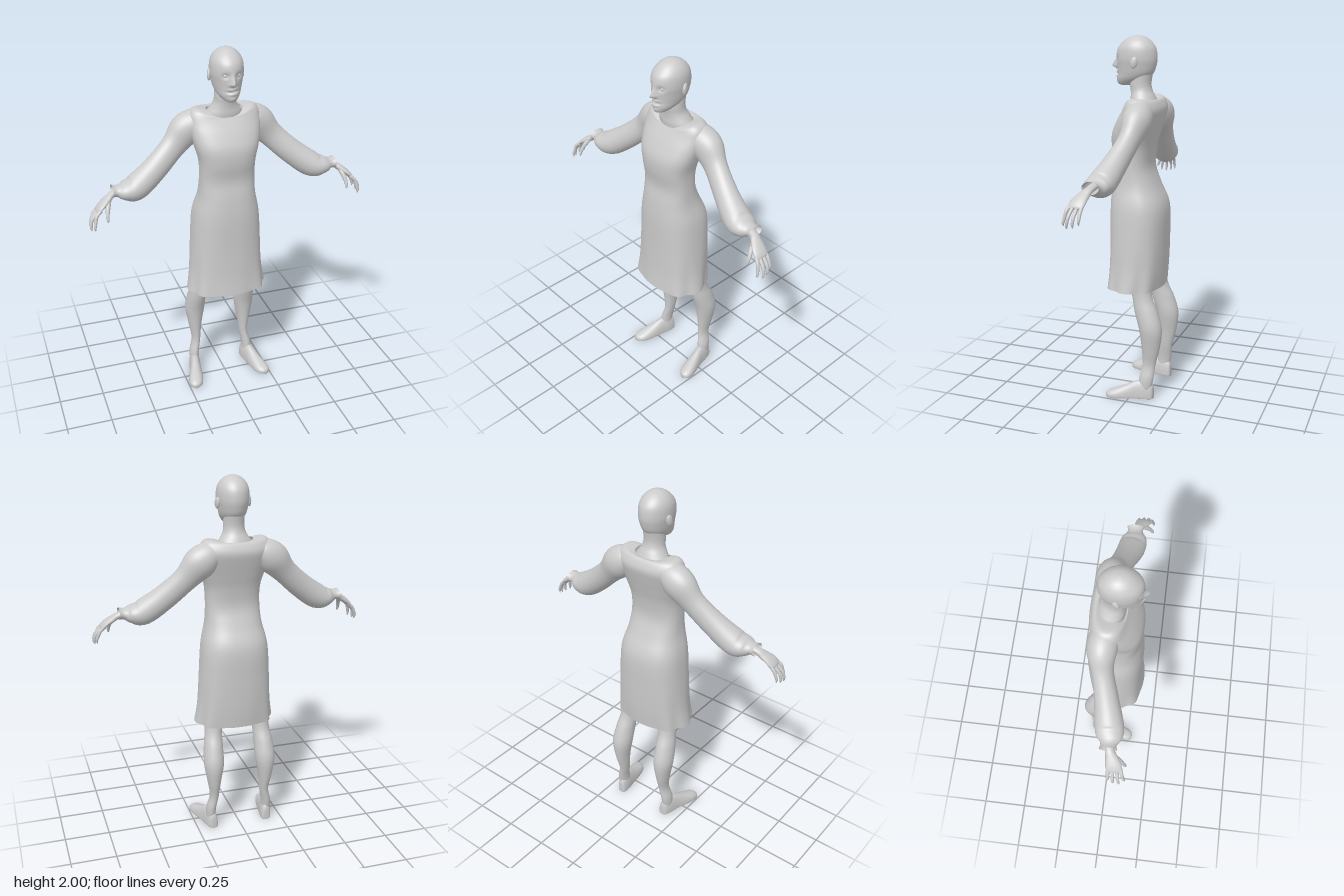
import * as THREE from 'three';

const V = (x, y, z) => new THREE.Vector3(x, y, z);
const skin = new THREE.MeshStandardMaterial({ color: 0xcccccc });
const cloth = new THREE.MeshStandardMaterial({ color: 0xcccccc, side: THREE.DoubleSide });
const gauss = (d, w) => Math.exp(-(d * d) / (w * w));
const pow = (v, p) => Math.sign(v) * Math.abs(v) ** p;

// Catmull-Rom subdivision of a short table of section values
function smooth(rows, per) {
  const out = [];
  const at = (i) => rows[Math.min(Math.max(i, 0), rows.length - 1)];
  for (let i = 0; i < rows.length - 1; i++) {
    for (let k = 0; k < per; k++) {
      const t = k / per;
      out.push(rows[i].map((b, j) => {
        const a = at(i - 1)[j], c = at(i + 1)[j], d = at(i + 2)[j];
        return b + 0.5 * t * (c - a + t * (2 * a - 5 * b + 4 * c - d + t * (3 * (b - c) + d - a)));
      }));
    }
  }
  out.push(rows[rows.length - 1]);
  return out;
}

// Skin over closed rings; capped ends get a centre point
function loft(rings, capStart = true, capEnd = true) {
  const n = rings[0].length, m = rings.length, pos = [], idx = [];
  rings.forEach((r) => r.forEach((p) => pos.push(p.x, p.y, p.z)));
  for (let i = 0; i < m - 1; i++) {
    for (let j = 0; j < n; j++) {
      const k = (j + 1) % n, a = i * n + j, b = i * n + k;
      idx.push(a, b, b + n, a, b + n, a + n);
    }
  }
  const cap = (i, flip) => {
    const c = rings[i].reduce((s, p) => s.add(p), V(0, 0, 0)).divideScalar(n);
    const id = pos.push(c.x, c.y, c.z) / 3 - 1;
    for (let j = 0; j < n; j++) {
      const a = i * n + j, b = i * n + (j + 1) % n;
      idx.push(id, flip ? b : a, flip ? a : b);
    }
  };
  if (capStart) cap(0, true);
  if (capEnd) cap(m - 1, false);
  const g = new THREE.BufferGeometry();
  g.setAttribute('position', new THREE.Float32BufferAttribute(pos, 3));
  g.setIndex(idx);
  g.computeVertexNormals();
  return g;
}

const ringOf = (n, f) => Array.from({ length: n }, (_, j) => f((j / n) * Math.PI * 2));

// Upright body sections: [y, centreX, halfWidth, zFront, zBack]
function column(rows, n, per, p = 1) {
  return loft(smooth(rows, per).map(([y, cx, hx, zf, zb]) => ringOf(n, (a) =>
    V(cx + hx * pow(Math.sin(a), p), y, (zf + zb) / 2 + (zf - zb) / 2 * pow(Math.cos(a), p)))));
}

// Limb sections along a path: [x, y, z, radius across z, radius across the limb]
function limb(rows, n, per, capEnd = true) {
  const s = smooth(rows, per);
  const pts = s.map((r) => V(r[0], r[1], r[2]));
  return loft(s.map((r, i) => {
    const t = pts[Math.min(i + 1, s.length - 1)].clone().sub(pts[Math.max(i - 1, 0)]).normalize();
    const u = V(0, 0, 1).addScaledVector(t, -t.z).normalize();
    const v = t.clone().cross(u);
    return ringOf(n, (a) => pts[i].clone()
      .addScaledVector(u, r[3] * Math.cos(a)).addScaledVector(v, r[4] * Math.sin(a)));
  }), true, capEnd);
}

function mirrored(g) {
  const m = g.clone().scale(-1, 1, 1);
  const ix = m.index.array;
  for (let i = 0; i < ix.length; i += 3) [ix[i], ix[i + 1]] = [ix[i + 1], ix[i]];
  m.computeVertexNormals();
  return m;
}

// Head with brow, nose, sockets and lips pushed out of the front
function headGeometry() {
  const g = column([
    [1.736, 0, 0.018, 0.118, 0.06], [1.745, 0, 0.036, 0.127, 0.03], [1.77, 0, 0.058, 0.133, -0.03],
    [1.80, 0, 0.071, 0.13, -0.068], [1.84, 0, 0.08, 0.132, -0.084], [1.88, 0, 0.086, 0.136, -0.09],
    [1.93, 0, 0.083, 0.127, -0.083], [1.965, 0, 0.067, 0.099, -0.06], [1.988, 0, 0.042, 0.067, -0.03],
    [1.997, 0, 0.02, 0.04, -0.003], [2.0, 0, 0.002, 0.02, 0.015],
  ], 72, 6);
  const p = g.attributes.position;
  for (let i = 0; i < p.count; i++) {
    const x = p.getX(i), y = p.getY(i), z = p.getZ(i);
    if (z < 0.05) continue;
    const ax = Math.abs(x);
    const bridge = y > 1.836 ? gauss(y - 1.836, 0.03) : gauss(y - 1.836, 0.011);
    const nose = 0.032 * bridge * gauss(x, 0.009 + 0.006 * gauss(y - 1.832, 0.012));
    const socket = -0.012 * gauss(ax - 0.034, 0.018) * gauss(y - 1.875, 0.014);
    const lips = gauss(x, 0.022) * (0.009 * gauss(y - 1.805, 0.007) + 0.008 * gauss(y - 1.783, 0.007)
      - 0.013 * gauss(y - 1.794, 0.005));
    const chin = 0.005 * gauss(x, 0.02) * gauss(y - 1.755, 0.012);
    p.setZ(i, z + nose + socket + lips + chin);
  }
  g.computeVertexNormals();
  return g;
}

// Dress: [y, halfWidth, zFront, zBack, neckline dip, hem fold]
function dressGeometry() {
  const rows = smooth([
    [0.625, 0.218, 0.168, -0.135, 0, 1], [0.74, 0.205, 0.159, -0.146, 0, 0.5],
    [0.9, 0.196, 0.155, -0.152, 0, 0.12], [1.08, 0.183, 0.155, -0.15, 0, 0],
    [1.2, 0.157, 0.146, -0.102, 0, 0], [1.3, 0.15, 0.132, -0.068, 0, 0],
    [1.4, 0.153, 0.146, -0.075, 0, 0], [1.48, 0.173, 0.143, -0.095, 0, 0],
    [1.55, 0.19, 0.113, -0.115, 0, 0], [1.61, 0.197, 0.08, -0.128, 0.005, 0],
    [1.655, 0.187, 0.064, -0.116, 0.025, 0], [1.678, 0.155, 0.06, -0.1, 0.042, 0],
    [1.67, 0.098, 0.055, -0.08, 0.036, 0],
  ], 5);
  return loft(rows.map(([y, hx, zf, zb, dip, fold]) => ringOf(72, (a) => {
    const c = Math.cos(a), s = Math.sin(a);
    const k = 1 + 0.045 * fold * Math.cos(8 * a) * (0.35 + 0.65 * s * s);
    return V(hx * k * pow(s, 0.8), y - dip * c * c * (c > 0 ? 1 : 0.3),
      (zf + zb) / 2 + (zf - zb) / 2 * k * pow(c, 0.8));
  })), false, false);
}

// Shoe: [z, centreX, halfWidth, height], flat underneath
function shoeGeometry() {
  const rows = smooth([
    [-0.132, 0.16, 0.014, 0.06], [-0.122, 0.161, 0.026, 0.09], [-0.085, 0.166, 0.033, 0.108],
    [-0.035, 0.176, 0.034, 0.1], [0.02, 0.19, 0.04, 0.075], [0.075, 0.204, 0.043, 0.053],
    [0.112, 0.211, 0.034, 0.038], [0.13, 0.214, 0.012, 0.024],
  ], 4);
  return loft(rows.map(([z, cx, hw, h]) => ringOf(28, (a) => {
    const s = Math.sin(a);
    return V(cx + hw * pow(Math.cos(a), 0.85), 0.015 + (s > 0 ? (h - 0.015) * s : 0.015 * pow(s, 0.3)), z);
  })));
}

export function createModel() {
  const model = new THREE.Group();
  model.name = 'figure';
  const add = (name, geo, mat = skin) => {
    const mesh = new THREE.Mesh(geo, mat);
    mesh.name = name;
    model.add(mesh);
  };
  const pair = (name, geo, mat) => {
    add(name + 'Left', geo, mat);
    add(name + 'Right', mirrored(geo), mat);
  };

  add('head', headGeometry());
  add('neck', column([
    [1.61, 0, 0.1, 0.05, -0.09], [1.65, 0, 0.095, 0.054, -0.09], [1.68, 0, 0.076, 0.053, -0.078],
    [1.71, 0, 0.06, 0.055, -0.063], [1.75, 0, 0.056, 0.06, -0.057], [1.82, 0, 0.056, 0.05, -0.068],
  ], 40, 4));
  pair('eye', new THREE.SphereGeometry(0.013, 20, 14).translate(0.034, 1.875, 0.107));
  pair('ear', new THREE.SphereGeometry(1, 18, 14).scale(0.01, 0.031, 0.019)
    .rotateX(-0.2).rotateY(0.3).translate(0.088, 1.86, 0.008));

  add('dress', dressGeometry(), cloth);

  // Gathered sleeves ending in a narrow cuff
  pair('sleeve', limb([
    [0.1, 1.6, -0.035, 0.06, 0.06], [0.15, 1.592, -0.042, 0.076, 0.078], [0.205, 1.555, -0.046, 0.076, 0.088],
    [0.277, 1.477, -0.034, 0.056, 0.068], [0.383, 1.38, -0.004, 0.062, 0.068],
    [0.495, 1.3, 0.024, 0.074, 0.07], [0.56, 1.292, 0.034, 0.068, 0.05],
    [0.6, 1.296, 0.034, 0.042, 0.03], [0.628, 1.298, 0.034, 0.046, 0.032],
  ], 36, 5, false), cloth);

  // Hands: palm, four curled fingers and a thumb
  pair('palm', limb([
    [0.56, 1.3, 0.034, 0.022, 0.018], [0.625, 1.287, 0.042, 0.023, 0.017], [0.655, 1.268, 0.054, 0.031, 0.018],
    [0.69, 1.243, 0.068, 0.041, 0.016], [0.712, 1.222, 0.074, 0.041, 0.013], [0.72, 1.212, 0.075, 0.034, 0.007],
  ], 24, 4));
  const tips = [[0.742, 1.13, 0.128], [0.758, 1.122, 0.103], [0.757, 1.127, 0.073], [0.748, 1.14, 0.045]];
  tips.forEach(([x, y, z], i) => {
    const bz = 0.106 - i * 0.021;
    pair('finger' + (i + 1), limb([
      [0.702, 1.228, bz, 0.01, 0.01], [0.727, 1.205, bz * 0.6 + z * 0.4, 0.0095, 0.0095],
      [x - 0.006, 1.175, bz * 0.3 + z * 0.7, 0.0085, 0.0085],
      [x, y + 0.016, z, 0.007, 0.007], [x - 0.002, y, z, 0.002, 0.002],
    ], 10, 3));
  });
  pair('thumb', limb([
    [0.652, 1.265, 0.07, 0.013, 0.013], [0.664, 1.235, 0.098, 0.012, 0.012],
    [0.672, 1.202, 0.118, 0.0095, 0.0095], [0.673, 1.178, 0.128, 0.007, 0.007],
    [0.672, 1.168, 0.131, 0.002, 0.002],
  ], 10, 3));

  // Legs run up under the skirt
  pair('leg', column([
    [0.06, 0.167, 0.026, -0.045, -0.122], [0.12, 0.165, 0.027, -0.05, -0.132], [0.2, 0.15, 0.025, -0.064, -0.14],
    [0.3, 0.152, 0.038, -0.06, -0.164], [0.41, 0.152, 0.056, -0.046, -0.175],
    [0.51, 0.147, 0.053, -0.018, -0.148], [0.6, 0.138, 0.049, 0.0, -0.112],
    [0.75, 0.12, 0.064, 0.035, -0.1], [0.95, 0.1, 0.08, 0.075, -0.1],
  ], 32, 5));
  pair('shoe', shoeGeometry());
  return model;
}
